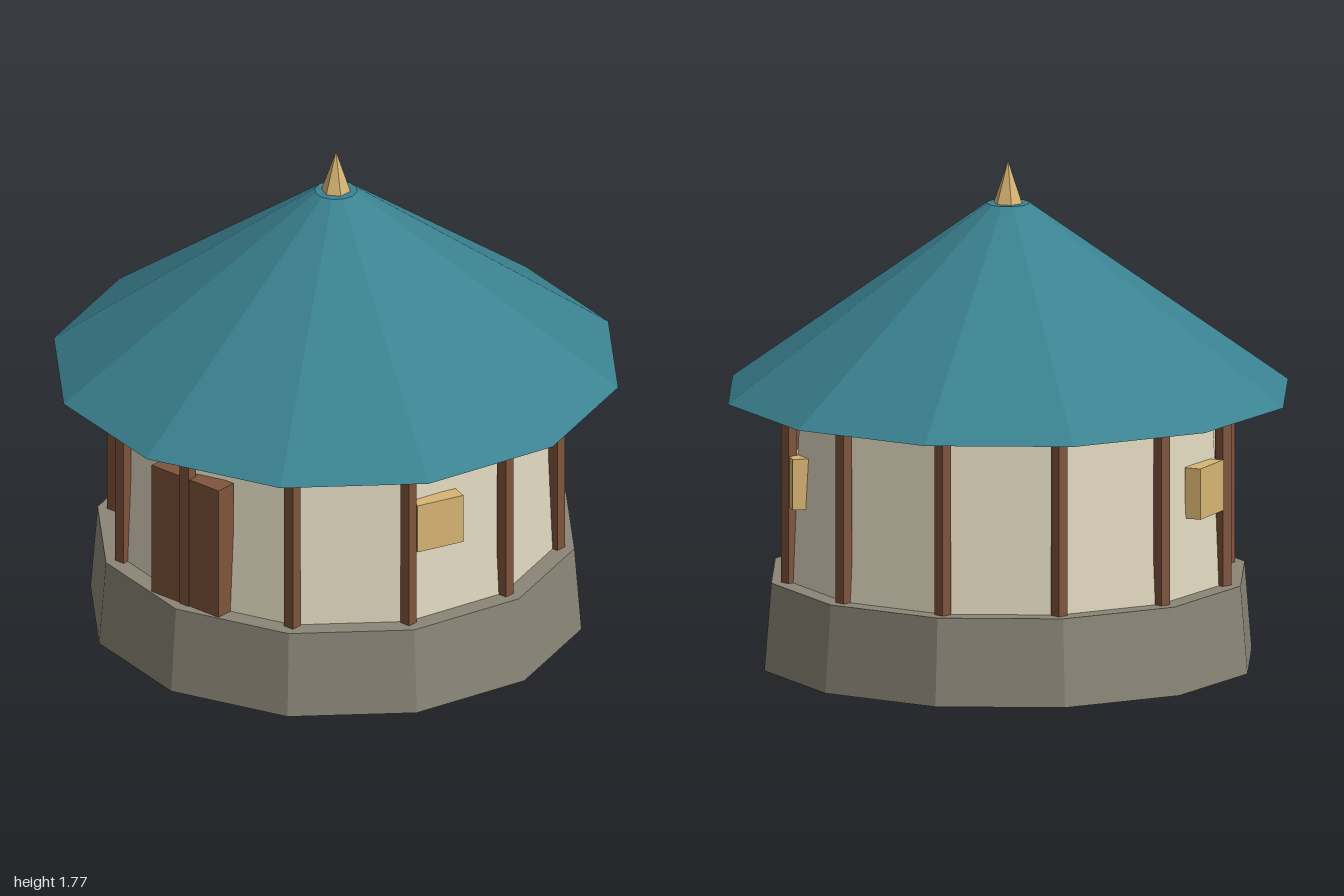
import * as THREE from 'three';

export function createModel() {
  const group = new THREE.Group();
  const paint = (name, color) => {
    const m = new THREE.MeshStandardMaterial({ color, flatShading: true });
    m.name = name;
    return m;
  };
  const stone = paint('grey stone', 0x8c8678);
  const plaster = paint('cream plaster', 0xe2d9c0);
  const wood = paint('brown wood', 0x7f553c);
  const teal = paint('teal roof', 0x3b8291);
  const gold = paint('warm gold', 0xd9b574);

  const add = (name, geometry, material, x, y, z, turn = 0) => {
    const mesh = new THREE.Mesh(geometry, material);
    mesh.name = name;
    mesh.position.set(x, y, z);
    mesh.rotation.y = turn;
    group.add(mesh);
  };
  // Tapered prism standing between two heights
  const ring = (name, material, rTop, rBottom, y0, y1, sides = 12) =>
    add(name, new THREE.CylinderGeometry(rTop, rBottom, y1 - y0, sides), material, 0, (y0 + y1) / 2, 0);

  ring('stoneBase', stone, 0.845, 0.87, 0, 0.31);
  ring('wall', plaster, 0.74, 0.775, 0.31, 0.955);
  ring('roof', teal, 0.075, 1, 0.95, 1.62);
  ring('finial', gold, 0, 0.053, 1.615, 1.77, 6);

  // Square posts at the corners of the wall
  const post = new THREE.BoxGeometry(0.04, 0.65, 0.04);
  for (let i = 0; i < 12; i++) {
    const a = (i * Math.PI) / 6;
    add('post', post, wood, 0.782 * Math.sin(a), 0.63, 0.782 * Math.cos(a));
  }

  // Door on the front
  add('door', new THREE.BoxGeometry(0.308, 0.49, 0.08), wood, 0, 0.555, 0.757);

  // Windows on both sides and at the back
  const pane = new THREE.BoxGeometry(0.18, 0.18, 0.06);
  for (const a of [1.2, 2.6, -1.2]) {
    add('window', pane, gold, 0.755 * Math.sin(a), 0.67, 0.755 * Math.cos(a), a);
  }
  return group;
}
